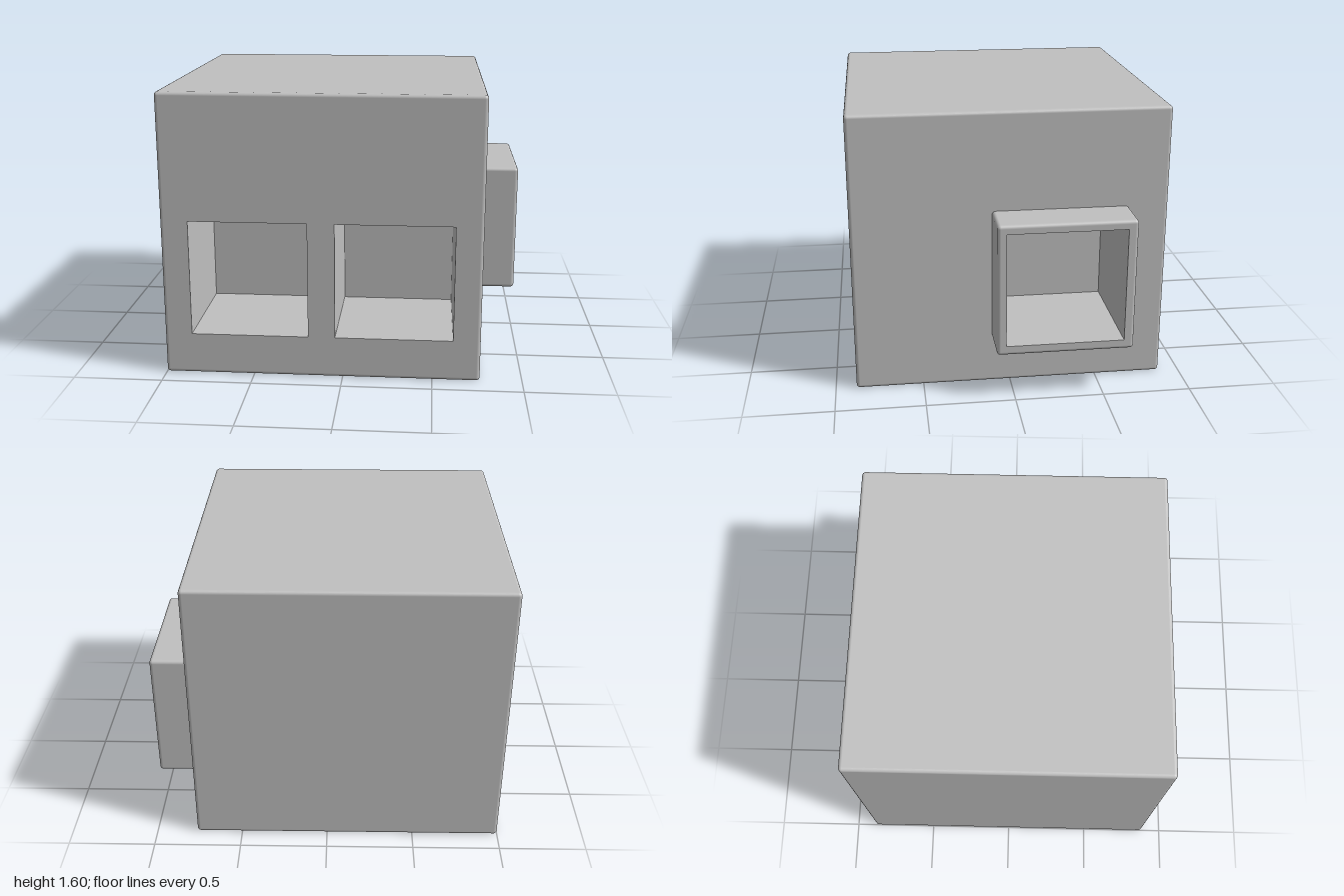
import * as THREE from 'three';

const STEPS = 4; // subdivisions across half of each rounded edge

// Box with rounded edges and exactly flat sides; the flat part of the sides listed in `open` is left out
function roundedShell(min, max, r, open) {
  const n = STEPS * 2 + 1;
  const g = new THREE.BoxGeometry(1, 1, 1, n, n, n);
  const pos = g.attributes.position, nor = g.attributes.normal;
  for (let i = 0; i < pos.count; i++) {
    const dir = new THREE.Vector3(), base = [];
    for (let a = 0; a < 3; a++) {
      const k = Math.round((pos.getComponent(i, a) + 0.5) * n);
      const low = k <= STEPS;
      const t = (low ? k - STEPS : k - STEPS - 1) / STEPS;
      dir.setComponent(a, Math.tan(t * Math.PI / 4));
      base[a] = low ? min[a] + r : max[a] - r;
    }
    dir.normalize();
    nor.setXYZ(i, dir.x, dir.y, dir.z);
    pos.setXYZ(i, base[0] + dir.x * r, base[1] + dir.y * r, base[2] + dir.z * r);
  }
  const kept = [], idx = g.index.array;
  for (let i = 0; i < idx.length; i += 3) {
    const tri = [idx[i], idx[i + 1], idx[i + 2]];
    const cut = open.some(([axis, sign]) => tri.every(v => nor.getComponent(v, axis) * sign > 0.9999));
    if (!cut) kept.push(...tri);
  }
  g.setIndex(kept);
  g.clearGroups();
  return g;
}

// Flat panel with rectangular holes, each rectangle as [u0, v0, u1, v1]
function panel(rect, holes) {
  const trace = (path, [u0, v0, u1, v1]) =>
    path.moveTo(u0, v0).lineTo(u1, v0).lineTo(u1, v1).lineTo(u0, v1).closePath();
  const shape = trace(new THREE.Shape(), rect);
  holes.forEach(h => shape.holes.push(trace(new THREE.Path(), h)));
  return new THREE.ShapeGeometry(shape);
}

// Inside walls of a recess whose mouth is `rect` at w = mouth, going back by depth
function recess([u0, v0, u1, v1], mouth, depth) {
  const g = new THREE.BoxGeometry(u1 - u0, v1 - v0, depth);
  const front = g.groups[4];
  const idx = Array.from(g.index.array);
  idx.splice(front.start, front.count);
  g.setIndex(idx.reverse());
  g.clearGroups();
  const nor = g.attributes.normal;
  for (let i = 0; i < nor.array.length; i++) nor.array[i] *= -1;
  return g.translate((u0 + u1) / 2, (v0 + v1) / 2, mouth - depth / 2);
}

export function createModel() {
  const group = new THREE.Group();
  const grey = new THREE.MeshStandardMaterial({ color: 0xc0c0c0 });
  grey.name = 'grey';

  const add = (name, geometry) => {
    const mesh = new THREE.Mesh(geometry, grey);
    mesh.name = name;
    group.add(mesh);
  };

  const r = 0.02, right = 0.765, half = 0.8825, height = 1.6, depth = 0.655;
  const windows = [[-0.847, 0.235, -0.192, 0.89], [-0.042, 0.235, 0.613, 0.89]];
  const tunnel = [-0.053, 0.335, 0.605, 0.99]; // u runs along -z
  const collar = [-0.105, 0.28, 0.66, 1.04];
  const inset = ([a, b, c, d]) => [a + r, b + r, c - r, d - r];

  // Main block with its pierced front and side
  add('body', roundedShell([-1, 0, -half], [right, height, half], r, [[2, 1], [0, 1]]));
  add('frontPanel', panel(inset([-1, 0, right, height]), windows).translate(0, 0, half));
  add('sidePanel', panel(inset([-half, 0, half, height]), [tunnel])
    .rotateY(Math.PI / 2).translate(right, 0, 0));

  // Two square recesses in the front
  windows.forEach((w, i) => add('frontRecess' + (i + 1), recess(w, half, depth)));

  // Square collar on the side with its own recess
  add('sideCollar', roundedShell([right - 0.05, collar[1], -collar[2]], [1, collar[3], -collar[0]],
    r, [[0, 1], [0, -1]]));
  add('collarRim', panel(inset(collar), [tunnel]).rotateY(Math.PI / 2).translate(1, 0, 0));
  add('sideRecess', recess(tunnel, 1, depth).rotateY(Math.PI / 2));

  return group;
}
